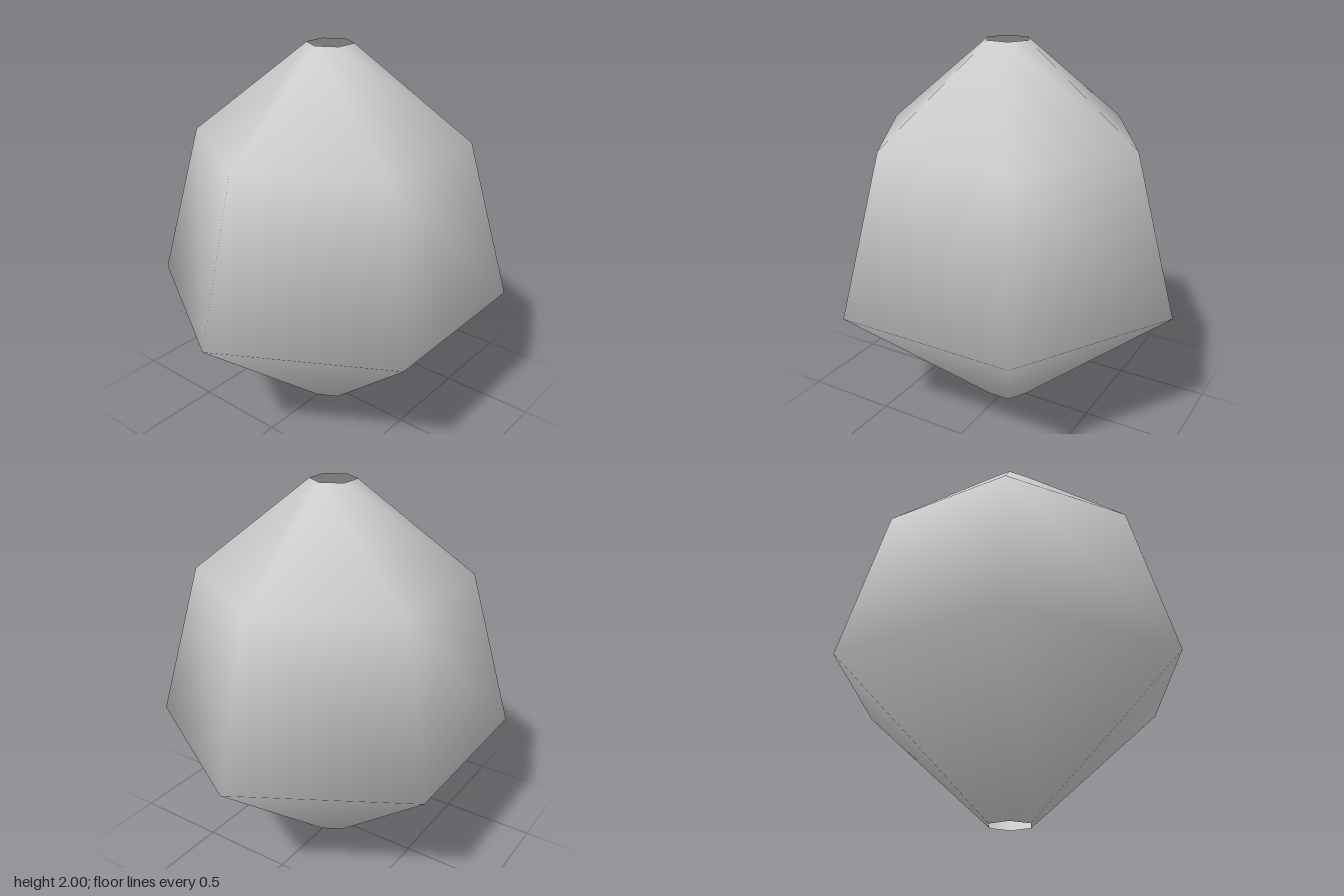
import * as THREE from 'three';

export function createModel() {
  const model = new THREE.Group();
  model.name = 'gemstone';

  const paleGrey = new THREE.MeshStandardMaterial({ color: 0xcccccc, side: THREE.DoubleSide });
  paleGrey.name = 'paleGrey';

  // Six-sided hollow shell with smooth normals, open at both ends
  const profile = [[0.117, 0], [0.938, 0.709], [0.706, 1.532], [0.117, 2]]
    .map(([r, y]) => new THREE.Vector2(r, y));
  const shell = new THREE.Mesh(new THREE.LatheGeometry(profile, 6, Math.PI / 2), paleGrey);
  shell.name = 'shell';
  model.add(shell);

  return model;
}
